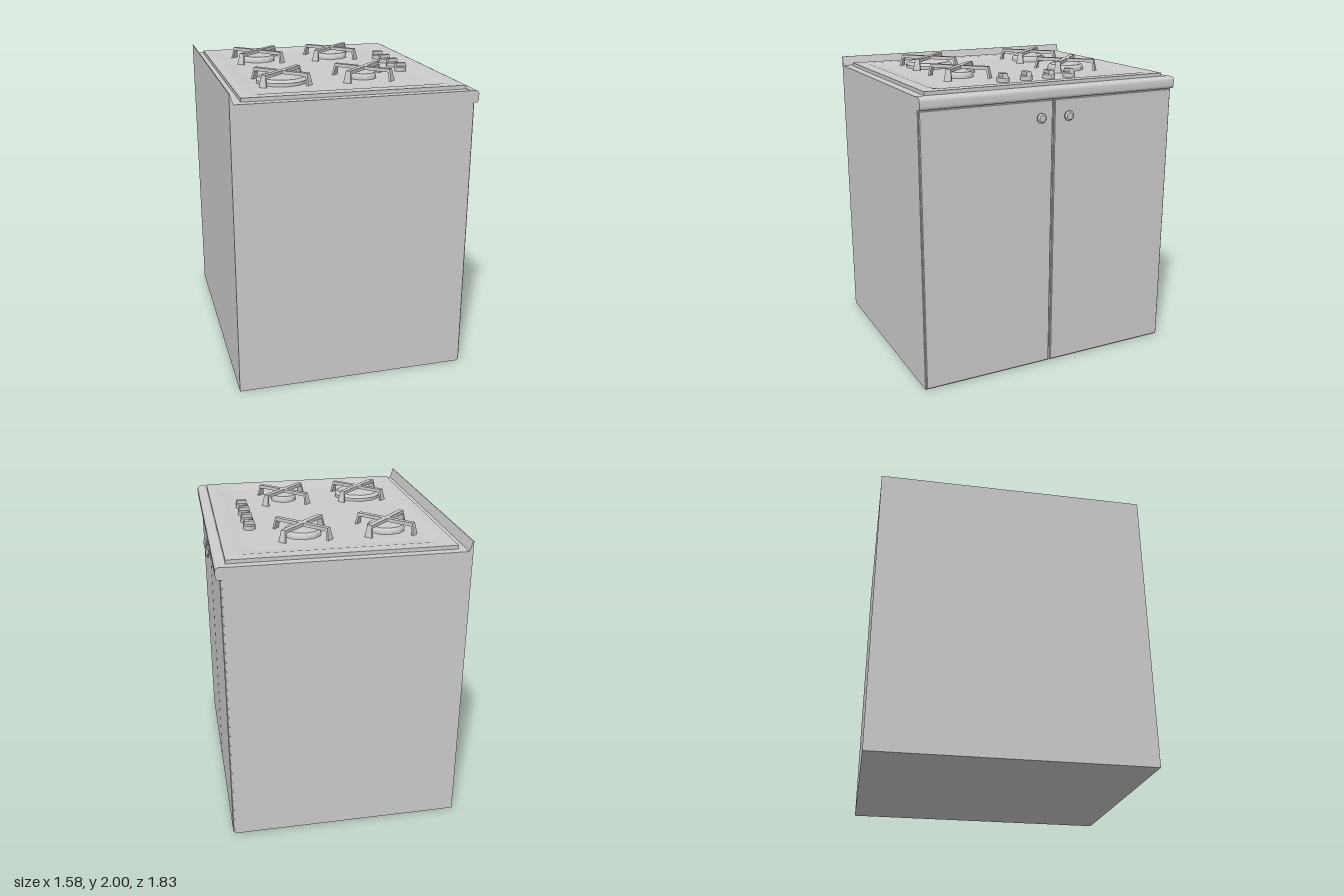
import * as THREE from 'three';
import { toCreasedNormals } from 'three/addons/utils/BufferGeometryUtils.js';

const grey = new THREE.MeshStandardMaterial({ color: 0xcccccc });
const DEPTH = 1.83;      // along z
const COUNTER = 1.912;   // height of the worktop

function add(parent, name, geometry, x = 0, y = 0, z = 0) {
  const mesh = new THREE.Mesh(geometry, grey);
  mesh.name = name;
  mesh.position.set(x, y, z);
  parent.add(mesh);
  return mesh;
}

// Extrudes an x-y outline along the full depth
function fullDepth(shape) {
  const g = new THREE.ExtrudeGeometry(shape, { depth: DEPTH, bevelEnabled: false, curveSegments: 6 });
  return toCreasedNormals(g.translate(0, 0, -DEPTH / 2), 0.6);
}

function outline(points) {
  return new THREE.Shape(points.map(([x, y]) => new THREE.Vector2(x, y)));
}

function lathe(points, sides) {
  const g = new THREE.LatheGeometry(points.map(([r, y]) => new THREE.Vector2(r, y)), sides);
  return toCreasedNormals(g, 0.7);
}

// Slab whose top sinks smoothly into a shallow basin
function cooktopGeometry() {
  const w = 1.425, h = 0.024, d = 1.715;
  const g = new THREE.BoxGeometry(w, h, d, 40, 1, 40);
  const p = g.attributes.position;
  for (let i = 0; i < p.count; i++) {
    if (p.getY(i) < 0) continue;
    const inset = Math.min(w / 2 - Math.abs(p.getX(i)), d / 2 - Math.abs(p.getZ(i)));
    p.setY(i, h / 2 - 0.013 * THREE.MathUtils.smoothstep(inset, 0.07, 0.15));
  }
  g.computeVertexNormals();
  return g;
}

// Crossed bars on four flared feet, over a round burner
function burner(x, z, radius) {
  const group = new THREE.Group();
  group.name = 'burner';
  group.position.set(x, 0, z);
  add(group, 'burnerCap', lathe([
    [0, 1.918], [radius, 1.918], [radius, 1.944], [radius * 0.88, 1.962], [0, 1.962],
  ], 12));

  const grate = new THREE.Group();
  grate.name = 'grate';
  grate.rotation.y = Math.PI / 4;
  const footShape = outline([[-0.027, 0], [0.027, 0], [0.016, 0.078], [-0.016, 0.078]]);
  for (let i = 0; i < 4; i++) {
    const arm = new THREE.Group();
    arm.name = 'grateArm';
    arm.rotation.y = i * Math.PI / 2;
    add(arm, 'grateBar', new THREE.BoxGeometry(0.034, 0.022, 0.204), 0, 1.989, 0.102);
    const foot = new THREE.ExtrudeGeometry(footShape, { depth: 0.014, bevelEnabled: false });
    const p = foot.attributes.position;
    for (let k = 0; k < p.count; k++) {
      p.setZ(k, p.getZ(k) + 0.016 * (1 - p.getY(k) / 0.078));
    }
    foot.computeVertexNormals();
    add(arm, 'grateFoot', foot, 0, 1.92, 0.19);
    grate.add(arm);
  }
  group.add(grate);
  return group;
}

function controlKnob(x, z) {
  const group = new THREE.Group();
  group.name = 'controlKnob';
  group.position.set(x, 0, z);
  add(group, 'knobBase', lathe([
    [0, 1.918], [0.041, 1.918], [0.041, 1.95], [0.034, 1.957], [0, 1.957],
  ], 12));
  // Grip with slightly tapered sides
  const grip = outline([[-0.04, 0], [0.04, 0], [0.032, 0.028], [-0.032, 0.028]]);
  const g = new THREE.ExtrudeGeometry(grip, { depth: 0.036, bevelEnabled: false });
  add(group, 'knobGrip', g, 0, 1.951, -0.018);
  return group;
}

export function createModel() {
  const model = new THREE.Group();
  model.name = 'cookerCabinet';

  // Cabinet
  add(model, 'cabinetBody', fullDepth(outline([
    [-0.795, 0], [0.733, 0], [0.733, COUNTER], [-0.795, COUNTER],
  ])));

  // Sloped rail along the rear edge of the worktop
  add(model, 'backRail', fullDepth(outline([
    [-0.795, COUNTER], [-0.77, COUNTER], [-0.79, 1.976], [-0.795, 1.976],
  ])));

  // Rounded worktop nose
  const nose = new THREE.Shape();
  nose.moveTo(0.71, 1.835);
  nose.lineTo(0.755, 1.835);
  nose.quadraticCurveTo(0.772, 1.838, 0.772, 1.86);
  nose.lineTo(0.772, 1.885);
  nose.quadraticCurveTo(0.772, 1.914, 0.74, 1.914);
  nose.lineTo(0.71, 1.914);
  nose.closePath();
  add(model, 'worktopNose', fullDepth(nose));

  // Doors with bevelled front edges, and their pulls
  const pull = lathe([
    [0, 0], [0.018, 0], [0.013, 0.013], [0.033, 0.02], [0.033, 0.028], [0.022, 0.038], [0, 0.038],
  ], 12);
  const panel = outline([[0.005, 0.011], [0.901, 0.011], [0.901, 1.826], [0.005, 1.826]]);
  for (const side of [-1, 1]) {
    const door = new THREE.ExtrudeGeometry(panel, {
      depth: 0.008, bevelEnabled: true, bevelThickness: 0.005, bevelSize: 0.005,
      bevelOffset: -0.001, bevelSegments: 1,
    });
    // Shape x runs along -z once turned to face +x
    const mesh = add(model, 'door', door, 0.733, 0, side > 0 ? 0.911 : -0.005);
    mesh.rotation.y = Math.PI / 2;
    const handle = add(model, 'doorPull', pull, 0.745, 1.72, side * 0.1);
    handle.rotation.z = -Math.PI / 2;
  }

  // Cooktop
  add(model, 'cooktop', cooktopGeometry(), -0.0075, COUNTER + 0.012, 0);
  for (const [x, z, r] of [
    [-0.375, -0.42, 0.125], [0.175, -0.42, 0.125],
    [-0.375, 0.395, 0.167], [0.175, 0.395, 0.09],
  ]) model.add(burner(x, z, r));
  for (const z of [-0.255, -0.1, 0.065, 0.235]) model.add(controlKnob(0.497, z));

  return model;
}
